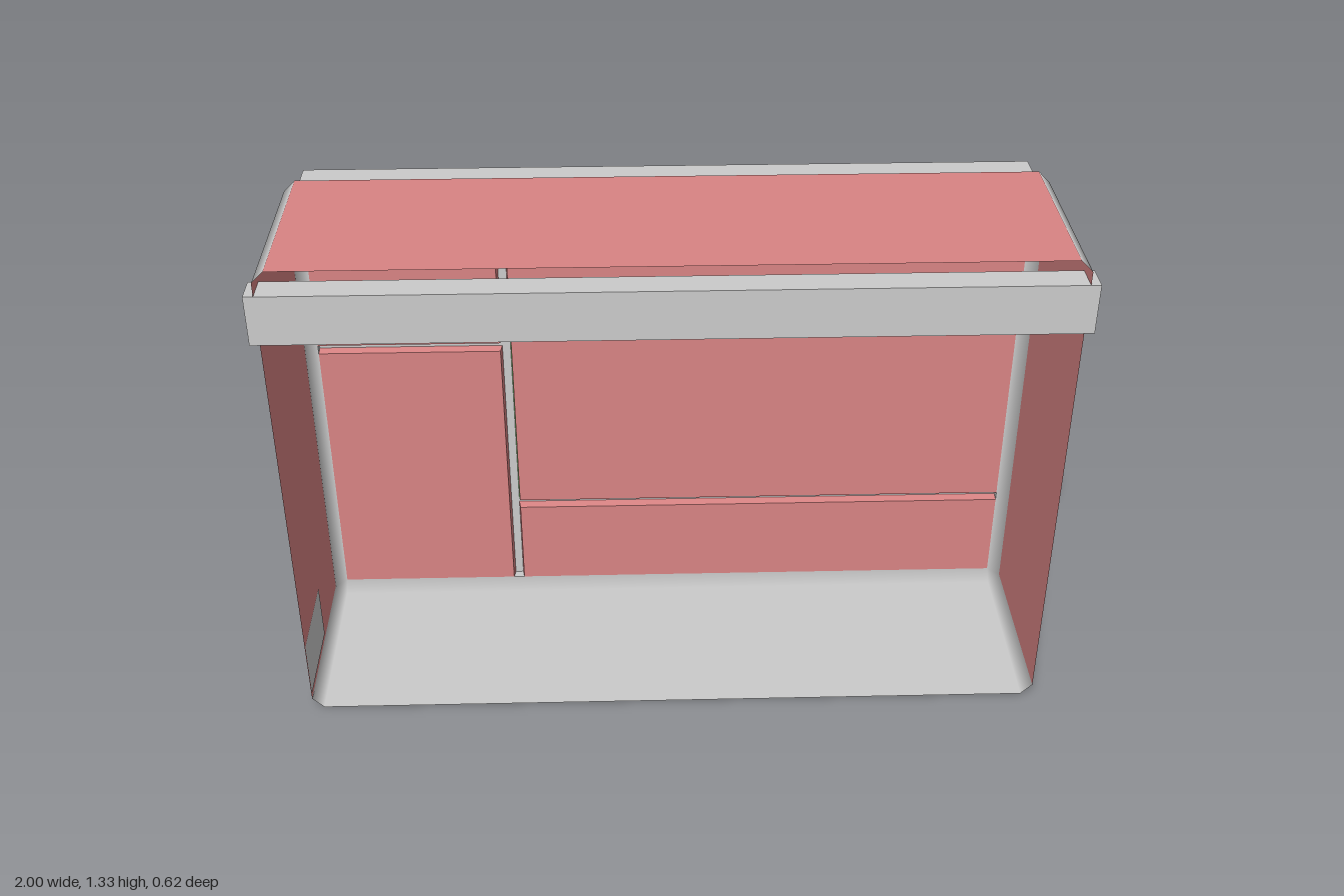
import * as THREE from 'three';

const material = (color) => new THREE.MeshStandardMaterial({ color, side: THREE.DoubleSide });
const W = 0.975, H = 1.325, C = 0.03;            // half width, height, edge chamfer
const X = W - C, Y0 = C, Y1 = H - C;             // opening inside the chamfers
const FRONT = 0.31, SHOULDER = -0.18, BACK = -0.21, RIM = -0.31, RIB = -0.235;

// Four-cornered sheet, corners counter-clockwise; optional normal per corner
function sheet(name, mat, corners, normals) {
  const [a, b, c, d] = corners;
  const g = new THREE.BufferGeometry();
  g.setAttribute('position', new THREE.Float32BufferAttribute([a, b, c, d].flat(), 3));
  g.setIndex([0, 1, 2, 0, 2, 3]);
  if (normals) g.setAttribute('normal', new THREE.Float32BufferAttribute(normals.flat(), 3));
  else g.computeVertexNormals();
  const mesh = new THREE.Mesh(g, mat);
  mesh.name = name;
  return mesh;
}

// Upright rectangle facing the front
const rect = (name, mat, x0, x1, y0, y1, z) =>
  sheet(name, mat, [[x0, y0, z], [x1, y0, z], [x1, y1, z], [x0, y1, z]]);

// Open-ended straight sleeve: four walls between two matching rings of corners
function sleeve(name, mat, ringA, ringB) {
  const group = new THREE.Group();
  group.name = name;
  ringA.forEach((p, i) => {
    const j = (i + 1) % 4;
    group.add(sheet(name + 'Wall', mat, [p, ringB[i], ringB[j], ringA[j]]));
  });
  return group;
}

export function createModel() {
  const model = new THREE.Group();
  model.name = 'openCase';
  const grey = material(0xcccccc), pink = material(0xd98484), green = material(0x90d080);

  // Eight-sided outline: [x, y, normal x, normal y, inner x, inner y]
  const outline = [];
  for (const [sx, sy, xFirst] of [[-1, -1, true], [1, -1, false], [1, 1, true], [-1, 1, false]]) {
    const ix = sx * X, iy = sy < 0 ? Y0 : Y1;
    const side = [sx * W, iy, sx, 0, ix, iy];
    const flat = [ix, sy < 0 ? 0 : H, 0, sy, ix, iy];
    outline.push(...(xFirst ? [side, flat] : [flat, side]));
  }

  // Case walls, chamfered long edges and the bevel that leads to the back
  const shell = new THREE.Group();
  shell.name = 'shell';
  const names = ['lowerRightEdge', 'floor', 'lowerLeftEdge', 'leftWall',
    'upperLeftEdge', 'top', 'upperRightEdge', 'rightWall'];
  outline.forEach((p, i) => {
    const q = outline[(i + 1) % 8];
    const np = [p[2], p[3], 0], nq = [q[2], q[3], 0], nb = [0, 0, -1];
    const at = (o, z) => [o[0], o[1], z];
    shell.add(sheet(names[i], [3, 5, 7].includes(i) ? pink : grey,
      [at(p, FRONT), at(p, SHOULDER), at(q, SHOULDER), at(q, FRONT)], [np, np, nq, nq]));
    const inner = (o) => [o[4], o[5], BACK];
    shell.add(sheet('backBevel', grey,
      [at(p, SHOULDER), inner(p), inner(q), at(q, SHOULDER)], [np, nb, nb, nq]));
  });
  model.add(shell);

  // Rim standing out behind the back panels
  const rimRing = (z) => [[-X, Y0, z], [X, Y0, z], [X, Y1, z], [-X, Y1, z]];
  model.add(sleeve('backRim', grey, rimRing(BACK), rimRing(RIM)));

  // Back panels; edges along the grooves turn back as narrow sloping walls
  const panels = new THREE.Group();
  panels.name = 'backPanels';
  const gx0 = -0.455, gx1 = -0.425, t = 0.004;
  const layout = [
    ['lowerRightPanel', -X, gx0, Y0, 0.80, pink],
    ['upperRightPanel', -X, gx0, 0.825, Y1, pink],
    ['lowerPanel', gx1, X, Y0, 0.28, pink],
    ['mainPanel', gx1, X, 0.305, 0.957, green],
    ['upperPanel', gx1, X, 0.98, Y1, pink],
  ];
  for (const [name, x0, x1, y0, y1, edge] of layout) {
    panels.add(rect(name, pink, x0, x1, y0, y1, BACK));
    const ring = (z, grow) => {
      const l = x0 === -X ? x0 : x0 - grow, r = x1 === X ? x1 : x1 + grow;
      const b = y0 === Y0 ? y0 : y0 - grow, u = y1 === Y1 ? y1 : y1 + grow;
      return [[l, b, z], [r, b, z], [r, u, z], [l, u, z]];
    };
    const a = ring(BACK, 0), b = ring(RIB, t);
    const inside = [y0 !== Y0, x1 !== X, y1 !== Y1, x0 !== -X];
    inside.forEach((show, i) => {
      const j = (i + 1) % 4;
      if (show) panels.add(sheet(name + 'Edge', edge, [a[i], b[i], b[j], a[j]]));
    });
  }
  model.add(panels);

  // Groove bottoms, which form ribs on the back
  const ribs = new THREE.Group();
  ribs.name = 'ribs';
  ribs.add(rect('uprightRib', grey, gx0 + t, gx1 - t, Y0, Y1, RIB));
  ribs.add(rect('rightRib', grey, -X, gx0 + t, 0.80 + t, 0.825 - t, RIB));
  ribs.add(rect('lowerRib', grey, gx1 - t, X, 0.28 + t, 0.305 - t, RIB));
  ribs.add(rect('upperRib', grey, gx1 - t, X, 0.957 + t, 0.98 - t, RIB));
  model.add(ribs);

  // Hollow bar across the front, open at both ends
  const barRing = (x) => [[x, 1.13, 0.235], [x, 1.26, 0.235], [x, 1.26, FRONT], [x, 1.13, FRONT]];
  model.add(sleeve('frontBar', grey, barRing(-1), barRing(1)));

  // Small plates on the inside of the right wall and the floor
  const px = -W + 0.002, py = 0.002;
  model.add(sheet('wallPlate', grey,
    [[px, 0.05, FRONT], [px, 0.05, 0.06], [px, 0.21, 0.06], [px, 0.21, FRONT]]));
  model.add(sheet('floorPlate', grey,
    [[0.32, py, FRONT], [0.81, py, FRONT], [0.81, py, 0.15], [0.34, py, 0.15]]));

  return model;
}
